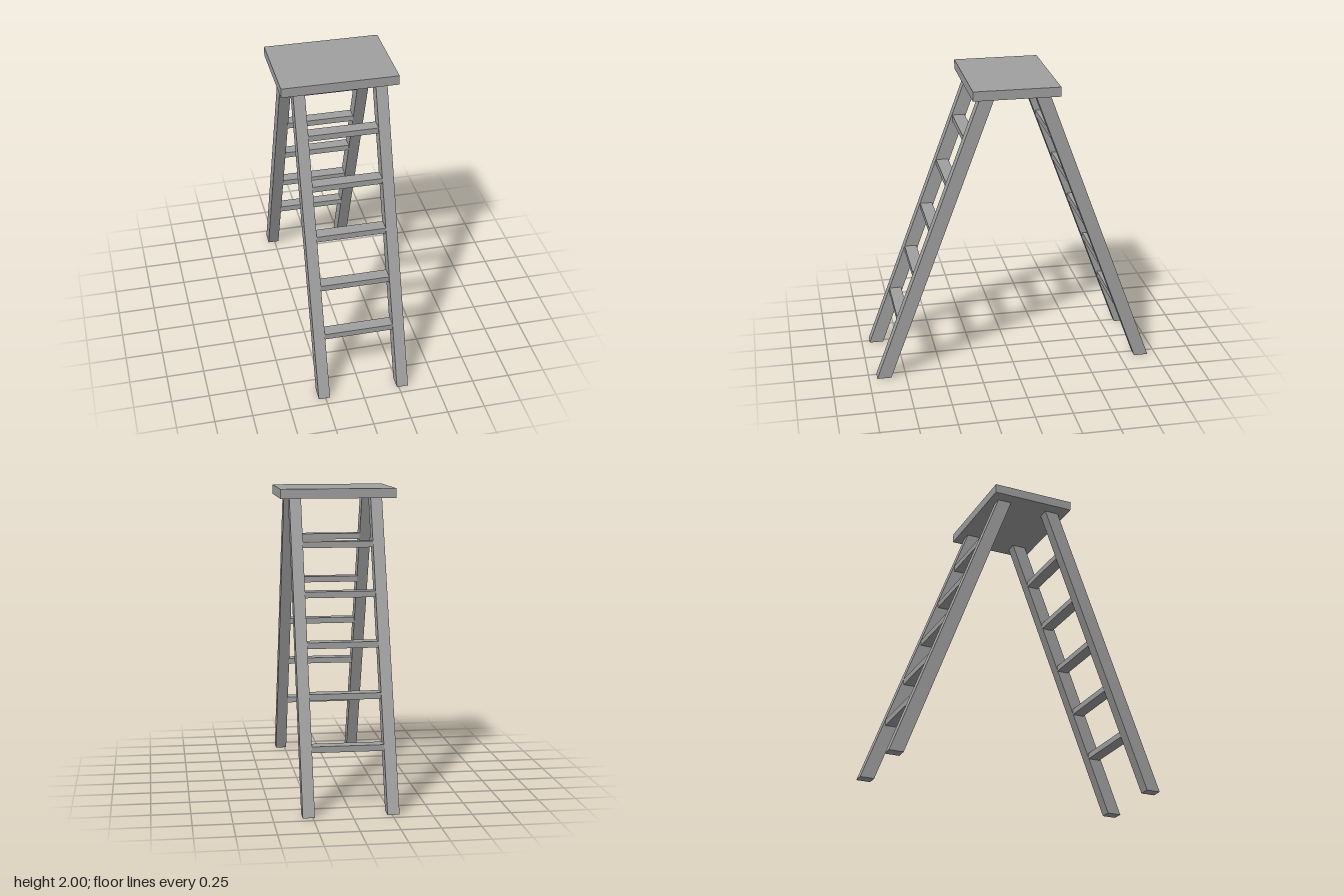
import * as THREE from 'three';

export function createModel() {
  const model = new THREE.Group();
  model.name = 'stepladder';
  const grey = new THREE.MeshStandardMaterial({ color: 0xa0a0a0 });
  grey.name = 'grey';

  const add = (name, geometry, x, y, z) => {
    const mesh = new THREE.Mesh(geometry, grey);
    mesh.name = name;
    mesh.position.set(x, y, z);
    model.add(mesh);
  };

  // Flat top platform
  add('topPlatform', new THREE.BoxGeometry(0.76, 0.063, 0.567), -0.002, 1.9685, 0);

  // Slanted rail, cut level at the floor and under the platform
  const railWidth = 0.076;
  const railGeometry = (side) => {
    const profile = new THREE.Shape([
      [0.85, 0], [0.945, 0], [0.226, 1.938], [0.131, 1.938],
    ].map(([z, y]) => new THREE.Vector2(z * side, y)));
    return new THREE.ExtrudeGeometry(profile, { depth: railWidth, bevelEnabled: false })
      .translate(0, 0, -railWidth / 2)
      .rotateY(-Math.PI / 2);
  };

  const rung = new THREE.BoxGeometry(0.462, 0.04, 0.082);
  for (const [label, side] of [['front', 1], ['back', -1]]) {
    const rail = railGeometry(side);
    add(label + 'LeftRail', rail, 0.276, 0, 0);
    add(label + 'RightRail', rail, -0.259, 0, 0);

    // Level rungs following the slope of the rails
    for (let i = 0; i < 5; i++) {
      add(label + 'Rung' + (i + 1), rung, 0.009, 0.395 + i * 0.3115, side * (0.75 - i * 0.1162));
    }
  }
  return model;
}
